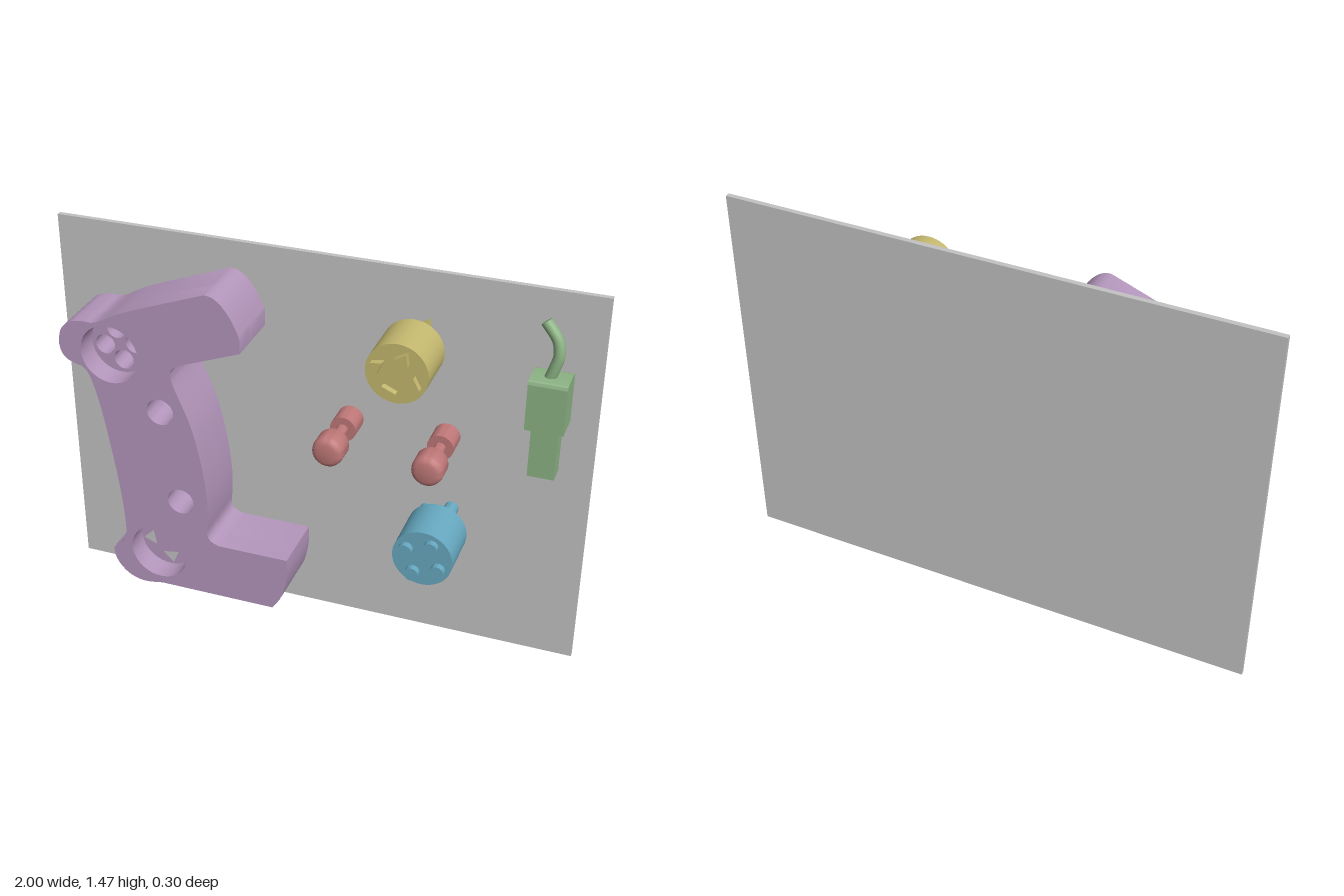
import * as THREE from 'three';
import { toCreasedNormals } from 'three/addons/utils/BufferGeometryUtils.js';

const material = (name, color) => new THREE.MeshStandardMaterial({ name, color });

export function createModel() {
  const purple = material('purple', 0xb496bc);
  const grey = material('grey', 0xc2c2c2);
  const yellow = material('yellow', 0xc4b86f);
  const red = material('red', 0xbf7878);
  const blue = material('blue', 0x66a8c0);
  const green = material('green', 0x8cb284);

  const root = new THREE.Group();
  root.name = 'toolBoard';
  const BOARD = -0.133; // front face of the board

  const add = (parent, name, geometry, mat, x = 0, y = 0, z = 0) => {
    const mesh = new THREE.Mesh(geometry, mat);
    mesh.name = name;
    mesh.position.set(x, y, z);
    parent.add(mesh);
    return mesh;
  };
  const group = (name, x, y) => {
    const g = new THREE.Group();
    g.name = name;
    g.position.set(x, y, 0);
    root.add(g);
    return g;
  };
  // Extrude a shape from z0 to z1
  const slab = (shape, z0, z1) => {
    const g = new THREE.ExtrudeGeometry(shape, { depth: z1 - z0, bevelEnabled: false, curveSegments: 20 });
    g.translate(0, 0, z0);
    return toCreasedNormals(g, 0.6);
  };
  const circle = (x, y, r, Type = THREE.Path) => new Type().absarc(x, y, r, 0, Math.PI * 2, false);
  // Four quarter turns of a 2D point
  const turn = ([x, y], k) => [[x, y], [y, -x], [-x, -y], [-y, x]][k];
  const polygon = (pts, cx, cy, Type = THREE.Path) =>
    new Type(pts.map(([x, y]) => new THREE.Vector2(x + cx, y + cy)));

  // Back board
  add(root, 'board', new THREE.BoxGeometry(2, 1.47, 0.019), grey, 0, 0.735, BOARD - 0.0095);

  // Bracket outline as smooth runs meeting at corners
  const runs = [
    [[-0.33, 1.367], [-0.30, 1.362], [-0.265, 1.335], [-0.23, 1.285], [-0.203, 1.225]],
    [[-0.203, 1.225], [-0.203, 1.166]],
    [[-0.203, 1.166], [-0.435, 1.077]],
    [[-0.435, 1.077], [-0.465, 1.055], [-0.47, 1.03], [-0.46, 0.985], [-0.40, 0.834], [-0.364, 0.674],
      [-0.348, 0.54], [-0.348, 0.444], [-0.353, 0.38], [-0.338, 0.35], [-0.305, 0.337]],
    [[-0.305, 0.337], [-0.037, 0.337]],
    [[-0.037, 0.337], [-0.038, 0.262], [-0.058, 0.17], [-0.096, 0.107]],
    [[-0.096, 0.107], [-0.55, 0.107]],
    [[-0.55, 0.107], [-0.63, 0.097], [-0.695, 0.12], [-0.738, 0.172], [-0.747, 0.225], [-0.72, 0.248],
      [-0.695, 0.285], [-0.69, 0.353], [-0.70, 0.487], [-0.722, 0.647], [-0.754, 0.834], [-0.786, 0.957],
      [-0.813, 1.0], [-0.856, 1.014], [-0.888, 1.034], [-0.904, 1.078], [-0.893, 1.139], [-0.856, 1.176],
      [-0.802, 1.187], [-0.754, 1.19], [-0.668, 1.235], [-0.578, 1.273]],
    [[-0.578, 1.273], [-0.33, 1.367]],
  ];
  const outline = () => {
    const s = new THREE.Shape();
    s.moveTo(...runs[0][0]);
    for (const run of runs) {
      if (run.length === 2) s.lineTo(...run[1]);
      else {
        const curve = new THREE.SplineCurve(run.map(p => new THREE.Vector2(...p)));
        curve.getPoints((run.length - 1) * 4).slice(1).forEach(p => s.lineTo(p.x, p.y));
      }
    }
    return s;
  };
  const top = [-0.706, 1.07], bottom = [-0.556, 0.251];
  const boltHoles = () => [circle(-0.519, 0.872, 0.052), circle(-0.455, 0.503, 0.052)];
  const socketTriangle = [[-0.014, 0.106], [0.027, 0.064], [-0.037, 0.053]];

  // Front layer holds the round sockets, back layer the pin holes
  const bracket = group('bracket', 0, 0);
  const front = outline();
  front.holes.push(...boltHoles(), circle(...top, 0.113), circle(...bottom, 0.113));
  add(bracket, 'bracketFront', slab(front, 0.015, 0.105), purple);
  const back = outline();
  back.holes.push(...boltHoles());
  for (let k = 0; k < 4; k++) {
    const [x, y] = turn([-0.011, 0.06], k);
    back.holes.push(circle(top[0] + x, top[1] + y, 0.038));
    back.holes.push(polygon(socketTriangle.map(p => turn(p, k)), ...bottom));
  }
  add(bracket, 'bracketBack', slab(back, BOARD, 0.015), purple);

  // Round plugs with four pins running through to the board
  const plug = (name, x, y, mat, pinShape) => {
    const g = group(name, x, y);
    const body = new THREE.CylinderGeometry(0.11, 0.11, 0.19, 48);
    body.rotateX(Math.PI / 2);
    add(g, 'plugBody', body, mat, 0, 0, 0.033);
    for (let k = 0; k < 4; k++) add(g, 'pin', slab(pinShape(k), BOARD, 0.152), mat);
  };
  const pinTriangle = [[-0.086, 0.037], [-0.043, 0.043], [-0.064, -0.005]];
  plug('trianglePinPlug', 0.364, 1.209, yellow,
    k => polygon(pinTriangle.map(p => turn(p, k)), 0, 0, THREE.Shape));
  plug('roundPinPlug', 0.481, 0.492, blue,
    k => circle(...turn([0.032, 0.06], k), 0.026, THREE.Shape));

  // Bolts: base, thin neck and rounded head
  const profile = [[0, BOARD], [0.048, BOARD], [0.048, -0.042], [0.021, -0.042], [0.021, 0.042], [0.046, 0.042],
    [0.053, 0.045], [0.057, 0.054], [0.057, 0.112], [0.054, 0.125], [0.047, 0.133], [0.036, 0.137], [0, 0.137]];
  const bolt = new THREE.LatheGeometry(profile.map(p => new THREE.Vector2(...p)), 40);
  bolt.rotateX(Math.PI / 2);
  const boltGeometry = toCreasedNormals(bolt, 0.7);
  for (const x of [0.123, 0.481]) add(root, 'bolt', boltGeometry, red, x, 0.851);

  // Connector: rounded-top housing, narrow tip and bent cable
  const connector = group('connector', 0.838, 0);
  const side = new THREE.Shape();
  const r = 0.018, zb = 0.133, zf = 0.02;
  side.moveTo(zf, 0.997);
  side.lineTo(zb, 0.997);
  side.lineTo(zb, 1.185 - r);
  side.quadraticCurveTo(zb, 1.185, zb - r, 1.185);
  side.lineTo(zf + r, 1.185);
  side.quadraticCurveTo(zf, 1.185, zf, 1.185 - r);
  const housing = slab(side, -0.067, 0.067);
  housing.rotateY(Math.PI / 2); // profile x becomes -z
  add(connector, 'housing', housing, green);
  add(connector, 'tip', new THREE.BoxGeometry(0.094, 0.19, 0.071), green, 0, 0.902, -0.0755);
  const path = new THREE.CatmullRomCurve3([[-0.008, 1.17, -0.076], [0.008, 1.22, -0.076], [0.018, 1.265, -0.078],
    [0.008, 1.315, -0.085], [-0.038, 1.372, -0.097]].map(p => new THREE.Vector3(...p)));
  add(connector, 'cable', new THREE.TubeGeometry(path, 32, 0.02, 20), green);
  const end = path.getPoint(1);
  const cap = add(connector, 'cableEnd', new THREE.CircleGeometry(0.02, 20), green, end.x, end.y, end.z);
  cap.quaternion.setFromUnitVectors(new THREE.Vector3(0, 0, 1), path.getTangent(1));

  return root;
}
